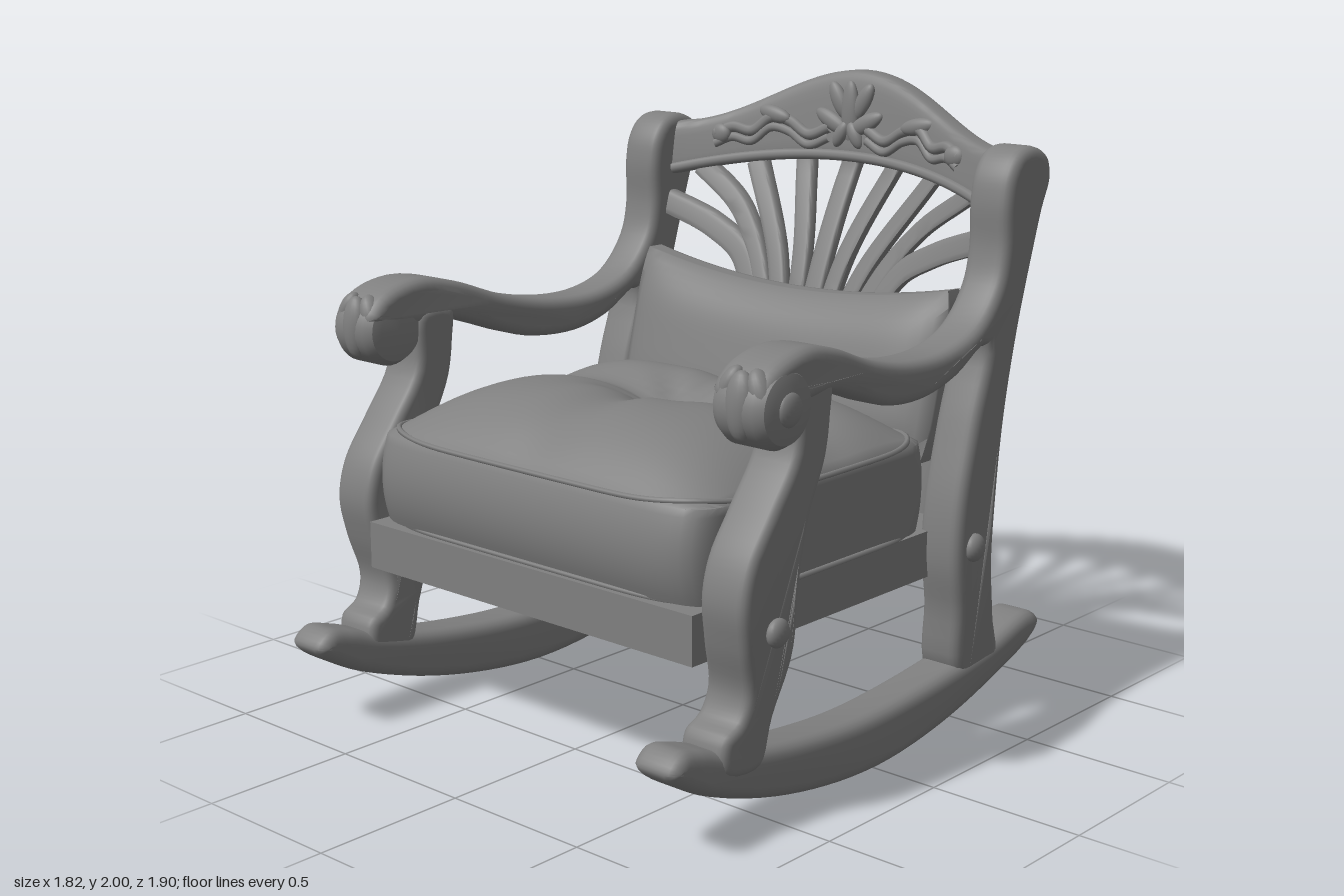
import * as THREE from 'three';
import { toCreasedNormals } from 'three/addons/utils/BufferGeometryUtils.js';

const V = (x, y, z = 0) => new THREE.Vector3(x, y, z);
const smooth = THREE.MathUtils.smoothstep;
const sq = (v, p) => Math.sign(v) * Math.abs(v) ** p;

export function createModel() {
  const model = new THREE.Group();
  const grey = new THREE.MeshStandardMaterial({ color: 0x808080 });
  grey.name = 'grey';

  const add = (name, geo, crease = 0.7) => {
    const mesh = new THREE.Mesh(crease ? toCreasedNormals(geo, crease) : geo, grey);
    mesh.name = name;
    model.add(mesh);
    return mesh;
  };
  const blob = (name, x, y, z, sx, sy, sz, roll = 0) => {
    const mesh = add(name, new THREE.SphereGeometry(1, 20, 14), 0);
    mesh.position.set(x, y, z);
    mesh.scale.set(sx, sy, sz);
    mesh.rotation.z = roll;
    return mesh;
  };
  // Move every vertex by a rule
  const warp = (geo, rule) => {
    const p = geo.attributes.position;
    for (let i = 0; i < p.count; i++) p.setXYZ(i, ...rule(p.getX(i), p.getY(i), p.getZ(i)));
    return geo;
  };
  // Thick board cut from a smooth (z, y) side outline
  const board = (pts, width, bevel) => {
    const curve = new THREE.CatmullRomCurve3(pts.map(([z, y]) => V(z, y)), true, 'centripetal');
    const shape = new THREE.Shape(curve.getPoints(pts.length * 5).slice(0, -1).map(p => new THREE.Vector2(p.x, p.y)));
    return new THREE.ExtrudeGeometry(shape, {
      depth: width - 2 * bevel, steps: 1, bevelThickness: bevel, bevelSize: bevel, bevelOffset: -bevel, bevelSegments: 4,
    }).translate(0, 0, bevel - width / 2).rotateY(-Math.PI / 2);
  };
  // Skin over cross-section rings, with end caps
  const loft = rings => {
    const n = rings[0].length, pos = [], idx = [];
    rings.forEach(r => r.forEach(p => pos.push(p.x, p.y, p.z)));
    for (let i = 0; i < rings.length - 1; i++) for (let j = 0; j < n; j++) {
      const a = i * n + j, b = i * n + (j + 1) % n;
      idx.push(a, b, a + n, b, b + n, a + n);
    }
    const last = (rings.length - 1) * n;
    for (let j = 1; j < n - 1; j++) idx.push(0, j + 1, j, last, last + j, last + j + 1);
    const g = new THREE.BufferGeometry();
    g.setAttribute('position', new THREE.Float32BufferAttribute(pos, 3));
    g.setIndex(idx);
    return g;
  };
  const roundRect = (n, p) => Array.from({ length: n }, (_, j) => {
    const t = (j + 0.5) / n * Math.PI * 2;
    return [sq(Math.cos(t), p), sq(Math.sin(t), p)];
  });

  // Side frames: rocker, front leg, and arm flowing into the back post
  const rocker = [[0.95, 0.28], [0.9, 0.33], [0.82, 0.315], [0.72, 0.28], [0.5, 0.23], [0.2, 0.192], [0, 0.185],
    [-0.3, 0.2], [-0.6, 0.235], [-0.85, 0.285], [-0.9, 0.25], [-0.87, 0.2], [-0.6, 0.1], [-0.3, 0.03],
    [0, 0.003], [0.3, 0.03], [0.6, 0.1], [0.85, 0.2]];
  const frontLeg = [[0.33, 1.28], [0.33, 1.18], [0.35, 1.06], [0.42, 0.9], [0.46, 0.7], [0.47, 0.5], [0.53, 0.34],
    [0.58, 0.2], [0.74, 0.22], [0.74, 0.32], [0.68, 0.36], [0.655, 0.43], [0.69, 0.57], [0.71, 0.7],
    [0.68, 0.82], [0.59, 0.95], [0.49, 1.1], [0.47, 1.28]];
  const armAndPost = [[0.67, 1.28], [0.62, 1.35], [0.47, 1.39], [0.3, 1.36], [0.1, 1.29], [-0.1, 1.25], [-0.3, 1.25],
    [-0.45, 1.3], [-0.55, 1.41], [-0.58, 1.52], [-0.58, 1.66], [-0.6, 1.75], [-0.65, 1.81], [-0.73, 1.825],
    [-0.81, 1.79], [-0.83, 1.72], [-0.79, 1.62], [-0.75, 1.5], [-0.68, 1.27], [-0.62, 1], [-0.59, 0.75],
    [-0.58, 0.5], [-0.61, 0.35], [-0.65, 0.18], [-0.44, 0.17], [-0.4, 0.4], [-0.37, 0.56], [-0.38, 0.75],
    [-0.44, 1], [-0.5, 1.23], [-0.35, 1.16], [-0.2, 1.125], [0, 1.135], [0.2, 1.2], [0.33, 1.24], [0.5, 1.24]];
  const armX = z => 0.73 + 0.06 * smooth(z, -0.4, 0.6);
  for (const s of [1, -1]) {
    const side = s > 0 ? 'left' : 'right';
    add(side + 'Rocker', warp(board(rocker, 0.165, 0.04), (x, y, z) => [x + s * (0.72 + 0.02 * z), y, z]));
    add(side + 'FrontLeg', warp(board(frontLeg, 0.17, 0.03),
      (x, y, z) => [x + s * (0.74 + 0.035 * smooth(y, 0.25, 0.7)), y, z]));
    add(side + 'ArmAndPost', warp(board(armAndPost, 0.155, 0.035),
      (x, y, z) => [x * (1 + 0.25 * smooth(z, 0.2, 0.6)) + s * (armX(z) - 0.02 * (1 - smooth(y, 0.2, 0.5))), y, z]));
    // Rolled arm end with a carved leaf on its front
    const roll = new THREE.LatheGeometry([[0, -0.1], [0.07, -0.1], [0.1, -0.09], [0.118, -0.06], [0.118, 0.06],
      [0.1, 0.09], [0.07, 0.1], [0, 0.1]].map(p => new THREE.Vector2(...p)), 36);
    add(side + 'ArmScroll', roll.rotateZ(Math.PI / 2).translate(s * 0.795, 1.24, 0.565));
    blob(side + 'ScrollEye', s * 0.89, 1.24, 0.565, 0.022, 0.05, 0.05);
    blob(side + 'ScrollLeaf', s * 0.795, 1.25, 0.65, 0.05, 0.1, 0.04);
    for (const d of [1, -1])
      blob(side + 'ScrollLeafLobe', s * 0.795 + d * 0.055, 1.29, 0.63, 0.035, 0.07, 0.04, d * 0.4);
    // Round pegs
    blob(side + 'FrontPeg', s * 0.855, 0.6, 0.56, 0.025, 0.043, 0.043);
    blob(side + 'BackPeg', s * 0.805, 0.6, -0.46, 0.03, 0.045, 0.045);
  }

  // Seat frame
  add('seatFrame', new THREE.BoxGeometry(1.38, 0.15, 1.1).translate(0, 0.575, 0.0), 0);
  add('frontRail', new THREE.BoxGeometry(1.36, 0.15, 0.2).translate(0, 0.575, 0.62), 0);
  add('backRail', new THREE.BoxGeometry(1.36, 0.15, 0.07).translate(0, 0.575, -0.55), 0);

  // Seat cushion: tufted dome over bulging sides
  const plan = (a, b, c) => {
    const out = 1 - 0.05 * b * b;
    return [0.69 * a * (1 - 0.06 * c ** 12), 0.15 + 0.575 * c * (1 - 0.06 * a ** 12) * out];
  };
  const cushion = (a, b, c) => {
    const [x, z] = plan(a, b, c), dz = z - 0.04;
    const r2 = x * x + dz * dz;
    const rise = (1 - a ** 4) * (1 - c ** 4);
    const dips = 0.05 * Math.exp(-((dz / 0.13) ** 2)) + 0.02 * Math.exp(-((x / 0.1) ** 2))
      + 0.06 * Math.exp(-r2 / 0.03) + 0.01 * Math.cos(8 * Math.atan2(dz, x)) * Math.exp(-r2 / 0.08) * Math.min(1, r2 / 0.01);
    return [x, 0.655 + 0.14 * (b + 1) + (b + 1) / 2 * rise * (0.175 - dips), z];
  };
  add('seatCushion', warp(new THREE.BoxGeometry(2, 2, 2, 40, 12, 40), cushion), 1.1);
  for (const b of [1, -1]) {
    const edge = roundRect(80, 0.25).map(([a, c]) => V(...cushion(a, b, c)));
    add('cushionPiping', new THREE.TubeGeometry(new THREE.CatmullRomCurve3(edge, true), 160, 0.009, 6, true), 0);
  }

  // Back pillow: saddle-shaped top, leaning back
  add('backPillow', warp(new THREE.BoxGeometry(2, 2, 2, 36, 20, 6), (a, b, c) => {
    const t = (b + 1) / 2;
    const half = 0.03 + 0.075 * (1 - a ** 8) * (1 - b ** 4);
    return [0.65 * a * (1 - 0.03 * b ** 4), 0.85 + t * (0.46 + 0.07 * a * a), -0.43 - 0.13 * t + c * half];
  }), 1.1);

  // Arched crest rail
  const crestZ = (u, y) => -0.73 - 0.15 * (1 - u * u) - 0.15 * (y - 1.8);
  const crestTop = u => 1.8 + 0.2 * Math.cos(u * Math.PI / 2) ** 2;
  const crestBottom = u => 1.61 + 0.09 * (1 - u * u);
  const crestRing = roundRect(28, 0.4);
  add('crestRail', loft(Array.from({ length: 41 }, (_, i) => {
    const u = i / 20 - 1, t = crestTop(u), b = crestBottom(u);
    return crestRing.map(([h, d]) => {
      const y = (t + b) / 2 + h * (t - b) / 2;
      return V(0.68 * u, y, crestZ(u, y) + d * 0.05);
    });
  })));
  // Moulding along the lower edge of the crest
  add('crestMoulding', new THREE.TubeGeometry(new THREE.CatmullRomCurve3(Array.from({ length: 13 }, (_, i) => {
    const u = (i / 6 - 1) * 0.96, y = crestBottom(u) + 0.02;
    return V(0.68 * u, y, crestZ(u, y) + 0.045);
  })), 50, 0.018, 8), 0);

  // Carved scrollwork on the crest
  const face = (x, y, lift = 0.05) => V(x, y, crestZ(x / 0.68, y) + lift);
  const leaf = (x, y, w, h, roll) => {
    const p = face(x, y);
    blob('carvedLeaf', p.x, p.y, p.z, w, h, 0.022, roll);
  };
  leaf(0, 1.86, 0.035, 0.11, 0);
  for (const s of [1, -1]) {
    leaf(s * 0.05, 1.9, 0.03, 0.07, -s * 0.5);
    leaf(s * 0.07, 1.83, 0.03, 0.075, -s * 1.1);
    leaf(s * 0.03, 1.79, 0.025, 0.05, s * 0.5);
    leaf(s * 0.49, 1.765, 0.04, 0.035, 0);
    leaf(s * 0.3, 1.84, 0.07, 0.028, s * 0.2);
    for (const [dy, r] of [[0, 0.02], [-0.035, 0.016]]) {
      const vine = [[0.08, 1.81], [0.16, 1.78], [0.24, 1.82], [0.31, 1.83], [0.38, 1.78], [0.45, 1.79], [0.51, 1.765]];
      add('carvedVine', new THREE.TubeGeometry(
        new THREE.CatmullRomCurve3(vine.map(([x, y]) => face(s * x, y + dy, 0.048))), 40, r, 8), 0);
    }
  }

  // Fan of curved back slats
  const slatZ = (x, y) => {
    const k = THREE.MathUtils.clamp((y - 0.6) / 1.1, 0, 1) ** 2, u = x / 0.68;
    return -0.54 - 0.17 * k - 0.15 * (1 - u * u) * k;
  };
  const slatRing = roundRect(16, 0.45);
  const slat = (name, pts, s, width) => {
    const curve = new THREE.CatmullRomCurve3(pts.map(([x, y]) => V(s * x, y)), false, 'centripetal');
    add(name, loft(Array.from({ length: 29 }, (_, i) => {
      const p = curve.getPoint(i / 28), t = curve.getTangent(i / 28);
      return slatRing.map(([n, b]) => {
        const x = p.x + t.y * n * width / 2, y = p.y - t.x * n * width / 2;
        return V(x, y, slatZ(x, y) - b * 0.022);
      });
    })));
  };
  slat('centreSlat', [[0, 0.6], [0, 1.2], [0, 1.73]], 1, 0.075);
  for (const s of [1, -1]) {
    slat('fanSlat', [[0.08, 0.6], [0.065, 1.15], [0.09, 1.4], [0.19, 1.71]], s, 0.065);
    slat('fanSlat', [[0.16, 0.6], [0.12, 1.12], [0.18, 1.36], [0.37, 1.68]], s, 0.065);
    slat('fanSlat', [[0.24, 0.6], [0.18, 1.12], [0.25, 1.34], [0.38, 1.52], [0.56, 1.65]], s, 0.065);
    slat('fanSlat', [[0.3, 0.6], [0.24, 1.14], [0.32, 1.36], [0.46, 1.45], [0.68, 1.53]], s, 0.08);
    slat('archSlat', [[0.38, 0.6], [0.36, 1.0], [0.45, 1.2], [0.68, 1.3]], s, 0.08);
    slat('outerPlank', [[0.52, 0.6], [0.53, 0.9], [0.54, 1.12]], s, 0.15);
    for (const y of [0.75, 1.0]) blob('plankStud', s * 0.52, y, slatZ(0.52, y) - 0.025, 0.022, 0.022, 0.016);
    blob('rosetteLeaf', s * 0.09, 0.89, -0.635, 0.07, 0.03, 0.025, s * 0.3);
  }
  // Carved boss in the middle of the back
  blob('rosette', 0, 0.87, -0.62, 0.07, 0.06, 0.05);

  return model;
}
